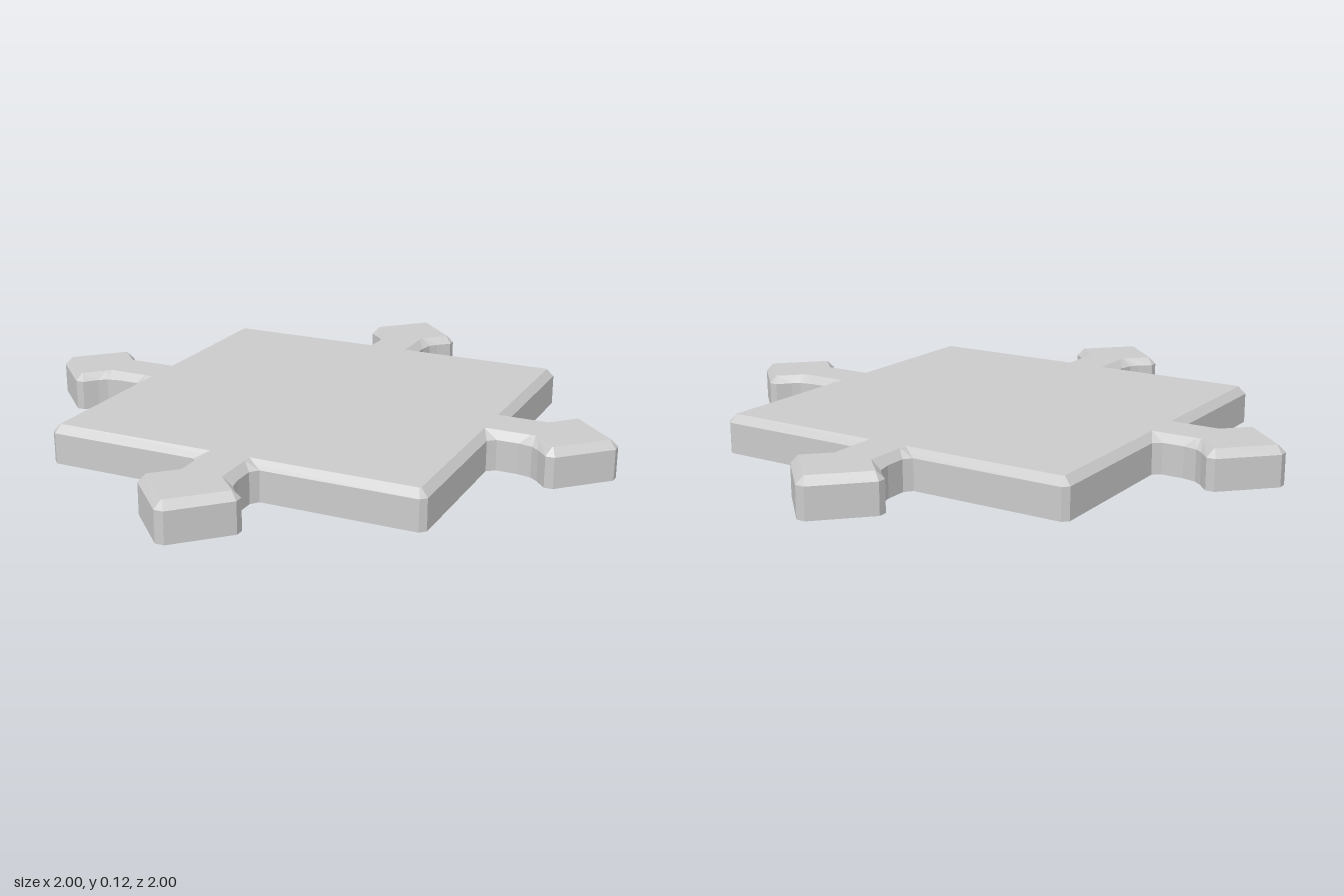
import * as THREE from 'three';

const H = 0.125;      // top surface
const WALL = 0.1;     // where the chamfer begins
const EDGE = 0.625;   // half width of the square plate

const material = new THREE.MeshStandardMaterial({
  color: 0xcccccc, flatShading: true, side: THREE.DoubleSide,
});

// Skin between stacked [x, z] outlines; rings = [{ y, pts }, ...]
function skin(rings, closed) {
  const pos = [];
  for (let r = 0; r < rings.length - 1; r++) {
    const lo = rings[r], hi = rings[r + 1], n = lo.pts.length;
    for (let i = 0; i < (closed ? n : n - 1); i++) {
      const j = (i + 1) % n;
      const a = [lo.pts[i][0], lo.y, lo.pts[i][1]];
      const b = [lo.pts[j][0], lo.y, lo.pts[j][1]];
      const c = [hi.pts[j][0], hi.y, hi.pts[j][1]];
      const d = [hi.pts[i][0], hi.y, hi.pts[i][1]];
      pos.push(...a, ...d, ...c, ...a, ...c, ...b);
    }
  }
  const g = new THREE.BufferGeometry();
  g.setAttribute('position', new THREE.Float32BufferAttribute(pos, 3));
  g.computeVertexNormals();
  return g;
}

// Flat horizontal sheet from an [x, z] outline
function sheet(pts, y) {
  const shape = new THREE.Shape(pts.map(([x, z]) => new THREE.Vector2(x, -z)));
  return new THREE.ShapeGeometry(shape).rotateX(-Math.PI / 2).translate(0, y, 0);
}

function add(parent, name, geometry) {
  const mesh = new THREE.Mesh(geometry, material);
  mesh.name = name;
  parent.add(mesh);
}

// Complete a half outline (x > 0, root to tip) with its mirror image
const mirrorX = (half) => [...half, ...half.slice().reverse().map(([x, z]) => [-x, z])];

// Square outline with cut corners
function square(half, cut) {
  const k = half - cut;
  return [[half, -k], [half, k], [k, half], [-k, half],
    [-half, k], [-half, -k], [-k, -half], [k, -half]];
}

// Arrow outlines along +z: wall, chamfered top edge, and flared socket edge
const arrowWall = mirrorX([[0.11, 0.625], [0.09, 0.65], [0.09, 0.72], [0.1, 0.765],
  [0.12, 0.79], [0.16, 0.825], [0.16, 0.853], [0.015, 1]]);
const arrowTop = mirrorX([[0.066, 0.602], [0.066, 0.63], [0.066, 0.75], [0.066, 0.765],
  [0.08, 0.78], [0.139, 0.838], [0.139, 0.842], [0.002, 0.979]]);
const arrowFlare = mirrorX([[0.135, 0.65], [0.115, 0.66], [0.115, 0.71], [0.12, 0.75],
  [0.14, 0.775], [0.185, 0.812], [0.185, 0.863], [0.025, 1.025]]);

// Flip an arrow about the plate edge so that it points inwards
const inward = (pts) => pts.map(([x, z]) => [-x, 2 * EDGE - z]).reverse();

export function createModel() {
  const model = new THREE.Group();
  model.name = 'connectorTile';

  // Plate: open-bottomed shell with chamfered rim
  const plate = new THREE.Group();
  plate.name = 'plate';
  const top = square(0.602, 0.004);
  add(plate, 'plateRim', skin([
    { y: 0, pts: square(EDGE, 0.018) },
    { y: WALL, pts: square(EDGE, 0.018) },
    { y: H, pts: top },
  ], true));
  add(plate, 'plateTop', sheet(top, H));
  model.add(plate);

  // One arrow tab and one hidden socket on each side
  for (let i = 0; i < 4; i++) {
    const side = new THREE.Group();
    side.name = 'sideConnector' + (i + 1);
    add(side, 'tabWall', skin([
      { y: 0, pts: arrowWall },
      { y: WALL, pts: arrowWall },
      { y: H, pts: arrowTop },
    ], false));
    add(side, 'tabTop', sheet(arrowTop, H));
    add(side, 'socketWall', skin([
      { y: 0, pts: inward(arrowWall) },
      { y: WALL, pts: inward(arrowWall) },
      { y: H - 0.001, pts: inward(arrowFlare) },
    ], false));
    side.rotation.y = i * Math.PI / 2;
    model.add(side);
  }
  return model;
}
